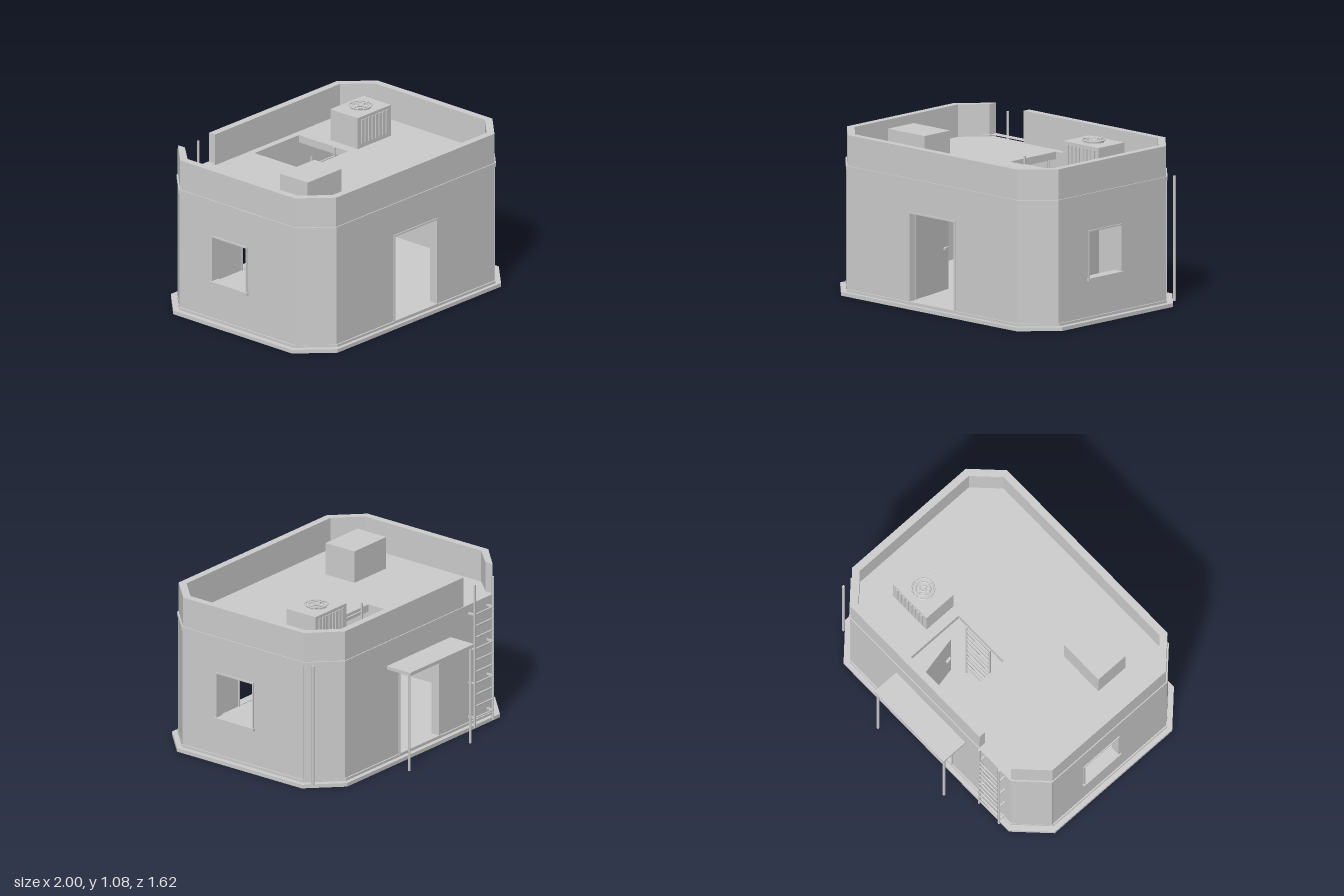
import * as THREE from 'three';

const concrete = new THREE.MeshStandardMaterial({ color: 0xcccccc });
concrete.name = 'concreteGrey';

function add(parent, name, geometry, x = 0, y = 0, z = 0) {
  const m = new THREE.Mesh(geometry, concrete);
  m.name = name;
  m.position.set(x, y, z);
  parent.add(m);
  return m;
}

// box given by its min and max on each axis
function box(parent, name, x0, x1, y0, y1, z0, z1) {
  return add(parent, name, new THREE.BoxGeometry(x1 - x0, y1 - y0, z1 - z0),
    (x0 + x1) / 2, (y0 + y1) / 2, (z0 + z1) / 2);
}

function pole(parent, name, r, x, z, y0, y1) {
  return add(parent, name, new THREE.CylinderGeometry(r, r, y1 - y0, 8), x, (y0 + y1) / 2, z);
}

// chamfered plan, starting with the front edge and going round by the +x side
function plan(X, zb, zf, c) {
  return [[-X + c, zf], [X - c, zf], [X, zf - c], [X, zb + c],
    [X - c, zb], [-X + c, zb], [-X, zb + c], [-X, zf - c]].map(p => new THREE.Vector2(...p));
}

function rect(x0, x1, y0, y1) {
  return [[x0, y0], [x1, y0], [x1, y1], [x0, y1]].map(p => new THREE.Vector2(...p));
}

// horizontal slab extruded from a plan outline
function slab(parent, name, pts, y0, y1, hole) {
  const shape = new THREE.Shape(pts);
  if (hole) shape.holes.push(new THREE.Path(hole));
  const g = new THREE.ExtrudeGeometry(shape, { depth: y1 - y0, bevelEnabled: false });
  g.rotateX(Math.PI / 2);
  return add(parent, name, g, 0, y1, 0);
}

// trim around an opening, in wall coordinates
function frame(parent, name, x0, x1, y0, y1, w, zb, zf) {
  box(parent, name, x0 - w, x0, y0, y1, zb, zf);
  box(parent, name, x1, x1 + w, y0, y1, zb, zf);
  box(parent, name, x0 - w, x1 + w, y1, y1 + w, zb, zf);
}

function ladder(name, x0, x1, z, y0, y1, firstRung, lastRung) {
  const g = new THREE.Group();
  g.name = name;
  for (const x of [x0, x1]) pole(g, 'ladderRail', 0.008, x, z, y0, y1);
  for (let y = firstRung; y <= lastRung; y += 0.08) {
    const rung = pole(g, 'ladderRung', 0.006, (x0 + x1) / 2, z, 0, x1 - x0);
    rung.rotation.z = Math.PI / 2;
    rung.position.y = y;
  }
  return g;
}

// casing with vertical fins on its front and back
function finnedUnit(name, x0, x1, y0, y1, z0, z1) {
  const g = new THREE.Group();
  g.name = name;
  box(g, 'casing', x0, x1, y0, y1, z0, z1);
  const n = 8, step = (x1 - x0 - 0.05) / n;
  for (let i = 0; i < n; i++) {
    const x = x0 + 0.025 + (i + 0.25) * step;
    for (const z of [z0, z1]) {
      box(g, 'fin', x, x + step * 0.5, y0 + 0.03, y1 - 0.02, z - 0.008, z + 0.008);
    }
  }
  return g;
}

export function createModel() {
  const model = new THREE.Group();
  model.name = 'guardhouse';
  const X = 0.955, ZB = -0.615, ZF = 0.77, C = 0.19, T = 0.05;
  const floorY = 0.042, wallTop = 0.835, roofY = 0.85, top = 1.065;
  const outer = plan(X, ZB, ZF, C);
  const inner = plan(X - T, ZB + T, ZF - T, 0.16);

  // base
  slab(model, 'plinth', plan(1, -0.655, 0.805, 0.21), 0, 0.025);
  slab(model, 'floor', plan(0.965, -0.625, 0.78, 0.2), 0.025, floorY);

  // walls, one panel per side; long sides have doors, short sides have windows
  const names = ['frontWall', 'cornerWall', 'leftWall', 'cornerWall',
    'backWall', 'cornerWall', 'rightWall', 'cornerWall'];
  outer.forEach((a, i) => {
    const b = outer[(i + 1) % 8];
    const L = a.distanceTo(b), h = L / 2;
    const wall = new THREE.Group();
    wall.name = names[i];
    wall.position.set((a.x + b.x) / 2, 0, (a.y + b.y) / 2);
    wall.rotation.y = Math.atan2(-(b.y - a.y), b.x - a.x);
    model.add(wall);
    const shape = new THREE.Shape(rect(-h, h, floorY, wallTop));
    const isDoor = i % 4 === 0, isWindow = i % 4 === 2;
    if (isDoor) shape.holes.push(new THREE.Path(rect(-0.2, 0.2, floorY + 0.003, 0.63)));
    if (isWindow) shape.holes.push(new THREE.Path(rect(-0.2175, 0.0775, 0.3, 0.605)));
    add(wall, 'wallPanel',
      new THREE.ExtrudeGeometry(shape, { depth: T, bevelEnabled: false }), 0, 0, -T);
    if (isDoor) {
      frame(wall, 'doorFrame', -0.2, 0.2, floorY, 0.63, 0.011, -T - 0.005, 0.008);
      box(wall, 'threshold', -0.21, 0.21, 0.034, 0.046, -T, 0.012);
      // door leaf standing open into the room
      const leaf = new THREE.Group();
      leaf.name = 'doorLeaf';
      leaf.position.set(-0.205, 0, -T);
      leaf.rotation.y = 1.77;
      box(leaf, 'doorPanel', 0, 0.39, 0.05, 0.625, -0.008, 0.008);
      box(leaf, 'doorHandle', 0.33, 0.37, 0.32, 0.335, -0.025, 0.025);
      wall.add(leaf);
    } else if (isWindow) {
      frame(wall, 'windowFrame', -0.2175, 0.0775, 0.3, 0.605, 0.01, -T - 0.005, 0.008);
      box(wall, 'windowSill', -0.235, 0.095, 0.282, 0.3, -T - 0.005, 0.018);
    } else {
      box(wall, 'cornerPanel', -h, h, floorY, wallTop, -0.02, 0.005);
    }
  });

  // roof with hatch opening, ledge and parapet with a gap for the ladder
  slab(model, 'roof', plan(X - 0.03, ZB + 0.03, ZF - 0.03, 0.17), 0.8, roofY,
    rect(-0.13, 0.3, -0.52, -0.09));
  slab(model, 'ledge', plan(X + 0.007, ZB - 0.007, ZF + 0.007, C), wallTop, 0.862, inner);
  const gap0 = -0.465, gap1 = -0.765;
  const order = [4, 3, 2, 1, 0, 7, 6];
  const v = (x, z) => new THREE.Vector2(x, z);
  slab(model, 'parapet', [
    v(gap0, ZB), ...order.map(i => outer[i]), v(gap1, ZB), v(gap1, ZB + 0.06),
    ...order.map(i => inner[i]).reverse(), v(gap0, ZB + T),
  ], wallTop, top);

  // roof box and cooling unit with fan
  box(model, 'roofBox', -0.7, -0.37, roofY, 1.069, 0.22, 0.46);
  const cooler = finnedUnit('coolingUnit', 0.37, 0.69, roofY, 1.066, -0.31, -0.07);
  model.add(cooler);
  for (const r of [0.073, 0.048, 0.02]) {
    const ring = add(cooler, 'fanRing', new THREE.TorusGeometry(r, 0.005, 6, 24), 0.53, 1.08, -0.19);
    ring.rotation.x = Math.PI / 2;
  }
  add(cooler, 'fanCollar', new THREE.CylinderGeometry(0.068, 0.068, 0.012, 24), 0.53, 1.068, -0.19);
  box(cooler, 'fanSpoke', 0.457, 0.603, 1.074, 1.084, -0.195, -0.185);
  box(cooler, 'fanSpoke', 0.525, 0.535, 1.074, 1.084, -0.263, -0.117);

  // ladders: one on the back wall, one inside below the hatch
  const outside = ladder('outsideLadder', -0.705, -0.515, -0.665, 0.012, 1.01, 0.08, 0.85);
  for (const y of [0.08, 0.32, 0.56, 0.8]) {
    for (const x of [-0.705, -0.515]) {
      box(outside, 'ladderBracket', x - 0.006, x + 0.006, y - 0.006, y + 0.006, -0.67, -0.61);
    }
  }
  model.add(outside);
  model.add(ladder('insideLadder', -0.025, 0.195, -0.118, floorY, 0.9, 0.12, 0.89));

  // canopy over the back door
  box(model, 'canopy', -0.33, 0.33, 0.667, 0.69, -0.81, -0.61);
  for (const x of [-0.315, 0.315]) pole(model, 'canopyPost', 0.009, x, -0.79, 0, 0.67);

  // drainpipe on the back corner and cabinet inside
  pole(model, 'drainpipe', 0.009, 0.955, -0.503, 0.025, 0.855);
  model.add(finnedUnit('cabinet', -0.78, -0.55, floorY, 0.36, 0.275, 0.48));
  return model;
}
